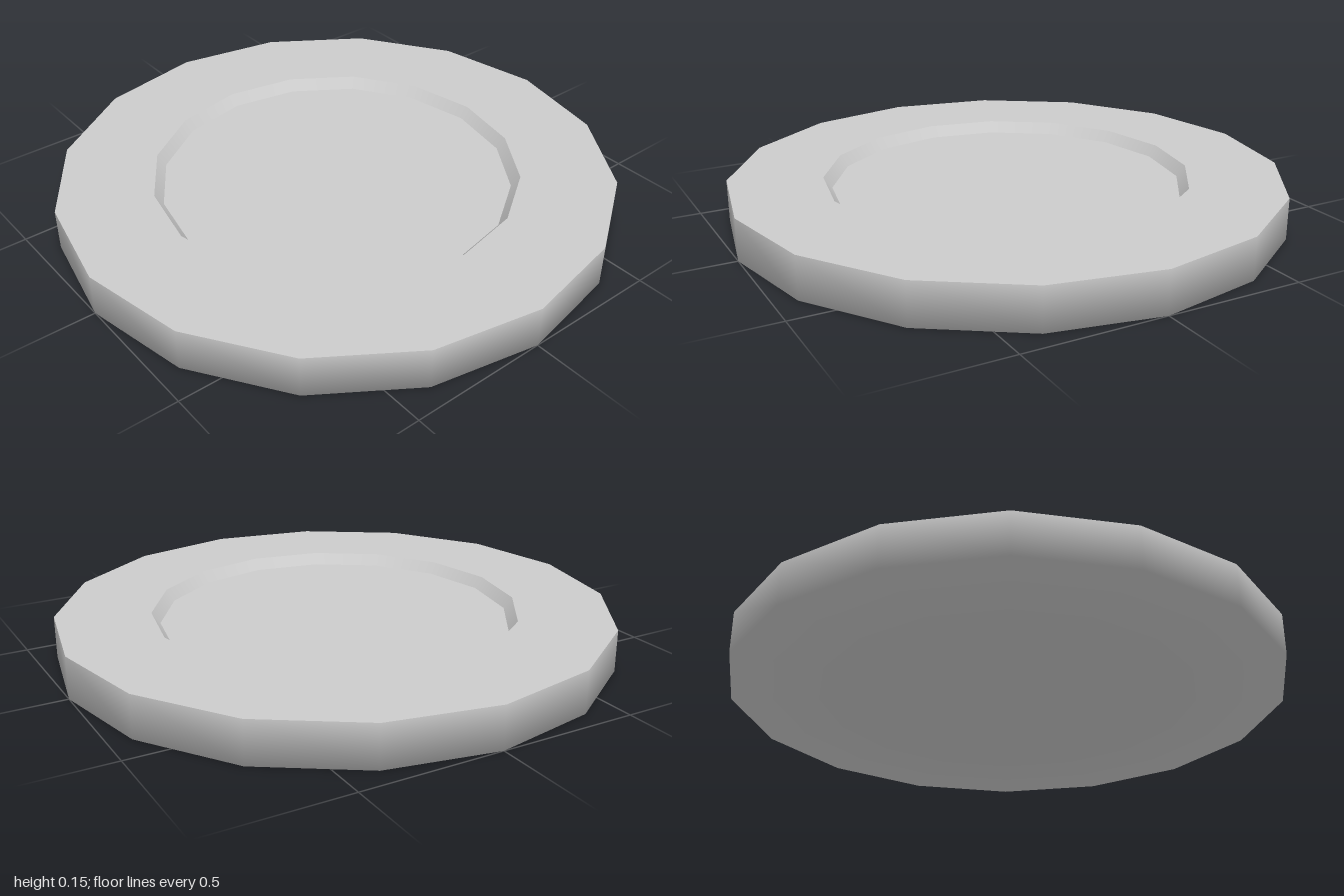
import * as THREE from 'three';

const SIDES = 16;
const HEIGHT = 0.15;
const FLOOR = 0.11;

// Revolves a profile running from the underside, up the outside and in over the top
function ring(name, profile) {
  const points = profile.map(([r, y]) => new THREE.Vector2(r, y));
  const mesh = new THREE.Mesh(
    new THREE.LatheGeometry(points, SIDES),
    new THREE.MeshStandardMaterial({ color: 0xcccccc })
  );
  mesh.name = name;
  return mesh;
}

export function createModel() {
  const plate = new THREE.Group();
  plate.name = 'plate';

  // Outer wall shaded smoothly into the underside, with a shallow recess inside the foot
  plate.add(ring('underside', [
    [0, 0.02], [0.63, 0.02], [0.66, 0], [1, 0], [1, HEIGHT],
  ]));

  // Flat rim, sloped step and sunken floor, each with crisp edges
  plate.add(ring('rim', [[1, HEIGHT], [0.66, HEIGHT]]));
  plate.add(ring('recessStep', [[0.66, HEIGHT], [0.63, FLOOR]]));
  plate.add(ring('floor', [[0.63, FLOOR], [0, FLOOR]]));

  return plate;
}
